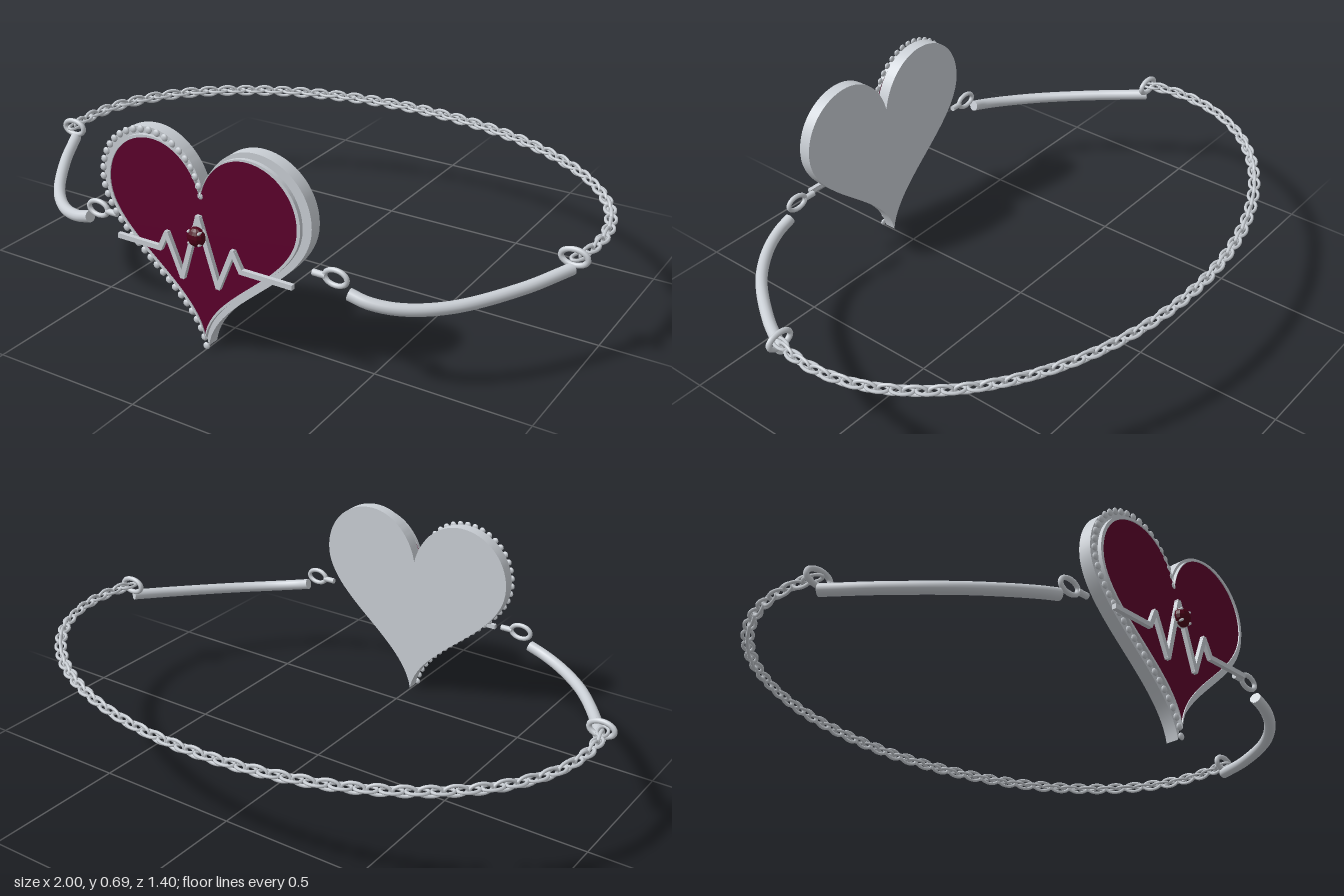
import * as THREE from 'three';
import { toCreasedNormals } from 'three/addons/utils/BufferGeometryUtils.js';

const silver = new THREE.MeshStandardMaterial({ color: 0xcacfd5 });
silver.name = 'silver';
const enamel = new THREE.MeshStandardMaterial({ color: 0x5c002c });
enamel.name = 'wine enamel';
const ruby = new THREE.MeshStandardMaterial({ color: 0x4e0018 });
ruby.name = 'ruby';

const v = (x, y, z) => new THREE.Vector3(x, y, z);

function add(parent, name, geometry, material, x = 0, y = 0, z = 0) {
  const m = new THREE.Mesh(geometry, material);
  m.name = name;
  m.position.set(x, y, z);
  parent.add(m);
  return m;
}

// Heart outline scaled about its middle; also used for the hole of the bezel
function heart(s, Type = THREE.Shape) {
  const p = new Type();
  const X = x => x * s, Y = y => 0.43 + (y - 0.43) * s;
  const to = (a, b, c, d, e, f) => p.bezierCurveTo(X(a), Y(b), X(c), Y(d), X(e), Y(f));
  p.moveTo(0, Y(0.002));
  to(0.03, 0.19, 0.37, 0.3, 0.37, 0.49);
  to(0.37, 0.598, 0.285, 0.676, 0.185, 0.676);
  to(0.1, 0.676, 0.02, 0.608, 0, 0.508);
  to(-0.02, 0.608, -0.1, 0.676, -0.185, 0.676);
  to(-0.285, 0.676, -0.37, 0.598, -0.37, 0.49);
  to(-0.37, 0.3, -0.03, 0.19, 0, 0.002);
  return p;
}

const plate = (shape, depth) => toCreasedNormals(
  new THREE.ExtrudeGeometry(shape, { depth, bevelEnabled: false, curveSegments: 28 }), 0.6);

// Oval wire ring lying in the xy plane
function ovalRing(a, b, r, steps, sides) {
  const pts = [];
  for (let i = 0; i < 16; i++) {
    const t = i / 16 * Math.PI * 2;
    pts.push(v(a * Math.cos(t), b * Math.sin(t), 0));
  }
  return new THREE.TubeGeometry(new THREE.CatmullRomCurve3(pts, true), steps, r, sides, true);
}

function makePendant() {
  const g = new THREE.Group();
  g.name = 'heartPendant';
  add(g, 'heartBase', plate(heart(1), 0.042), silver, 0, 0, 0.594);
  add(g, 'heartEnamel', plate(heart(0.905), 0.009), enamel, 0, 0, 0.642);
  const rim = heart(0.93);
  rim.holes.push(heart(0.9, THREE.Path));
  add(g, 'heartBezel', plate(rim, 0.013), silver, 0, 0, 0.642);

  // Beaded edge on the right half only
  const beads = new THREE.Group();
  beads.name = 'beadedEdge';
  g.add(beads);
  const bead = new THREE.SphereGeometry(0.0115, 10, 8);
  bead.scale(1, 1, 0.55);
  const outline = heart(0.985).getSpacedPoints(160);
  let last = null;
  for (const p of outline) {
    if (p.x > 0.001 || (last && p.distanceTo(last) < 0.024)) continue;
    add(beads, 'bead', bead, silver, p.x, p.y, 0.648);
    last = p;
  }

  // Heartbeat line
  const pulse = new THREE.Group();
  pulse.name = 'heartbeatLine';
  g.add(pulse);
  const pts = [[-0.3, 0.31], [-0.145, 0.31], [-0.118, 0.365], [-0.065, 0.235], [0, 0.445],
    [0.065, 0.235], [0.12, 0.365], [0.148, 0.31], [0.32, 0.31]];
  for (let i = 1; i < pts.length; i++) {
    const [ax, ay] = pts[i - 1], [bx, by] = pts[i];
    const len = Math.hypot(bx - ax, by - ay);
    const bar = add(pulse, 'pulseSegment', new THREE.BoxGeometry(len + 0.009, 0.016, 0.014),
      silver, (ax + bx) / 2, (ay + by) / 2, 0.663);
    bar.rotation.z = Math.atan2(by - ay, bx - ax);
  }

  // Round stone held by four prongs
  const stone = new THREE.Group();
  stone.name = 'stoneSetting';
  stone.position.set(0, 0.388, 0.672);
  g.add(stone);
  const gem = new THREE.SphereGeometry(0.031, 12, 8).toNonIndexed();
  gem.computeVertexNormals();
  add(stone, 'stone', gem, ruby, 0, 0, 0.004).scale.z = 0.75;
  add(stone, 'stoneCollar', new THREE.TorusGeometry(0.028, 0.004, 6, 24), silver, 0, 0, -0.006);
  for (let i = 0; i < 4; i++) {
    const t = Math.PI / 4 + i * Math.PI / 2;
    const prong = add(stone, 'prong', new THREE.CapsuleGeometry(0.0045, 0.02, 3, 8), silver,
      0.026 * Math.cos(t), 0.026 * Math.sin(t), 0.008);
    prong.rotation.x = Math.PI / 2;
  }
  return g;
}

// Peg, loop, curved bar and end ring of one side (s = 1 left, -1 right)
function makeSide(s) {
  const g = new THREE.Group();
  g.name = s > 0 ? 'leftArm' : 'rightArm';
  const peg = add(g, 'peg', new THREE.CylinderGeometry(0.01, 0.01, 0.042, 12), silver, s * 0.377, 0.343, 0.608);
  peg.rotation.z = Math.PI / 2;
  add(g, 'frontLoop', ovalRing(0.037, 0.024, 0.008, 32, 8), silver, s * 0.431, 0.345, 0.608);
  add(g, 'endRing', ovalRing(0.042, 0.025, 0.009, 32, 8), silver, s * 0.948, 0.345, 0.137);

  const path = new THREE.CatmullRomCurve3([
    v(s * 0.472, 0.304, 0.604), v(s * 0.53, 0.289, 0.597), v(s * 0.615, 0.276, 0.56),
    v(s * 0.727, 0.273, 0.468), v(s * 0.86, 0.288, 0.29), v(s * 0.945, 0.307, 0.138)]);
  add(g, 'curvedBar', new THREE.TubeGeometry(path, 48, 0.019, 16), silver);
  for (const t of [0, 1]) {
    const end = path.getPoint(t);
    const cap = add(g, 'barEnd', new THREE.CircleGeometry(0.019, 16), silver, end.x, end.y, end.z);
    const out = path.getTangent(t).multiplyScalar(t ? 1 : -1);
    cap.quaternion.setFromUnitVectors(v(0, 0, 1), out);
  }
  return g;
}

// Oval links laid along the back of an ellipse, each turned a quarter against the next
function makeChain() {
  const g = new THREE.Group();
  g.name = 'chain';
  const pts = [];
  for (let i = 0; i <= 48; i++) {
    const t = -0.2 + i / 48 * (Math.PI + 0.4);
    pts.push(v(0.974 * Math.cos(t), 0.344, -0.676 * Math.sin(t)));
  }
  const path = new THREE.CatmullRomCurve3(pts);
  const link = ovalRing(0.033, 0.0165, 0.0055, 20, 6);
  const count = 81;
  for (let i = 0; i < count; i++) {
    const u = (i + 0.3) / (count - 0.4);
    const p = path.getPointAt(u), d = path.getTangentAt(u);
    const m = add(g, 'chainLink', link, silver, p.x, p.y, p.z);
    m.rotation.order = 'YXZ';
    m.rotation.y = Math.atan2(-d.z, d.x);
    m.rotation.x = i % 2 ? 0 : Math.PI / 2;
  }
  return g;
}

export function createModel() {
  const model = new THREE.Group();
  model.name = 'heartBracelet';
  model.add(makePendant(), makeSide(1), makeSide(-1), makeChain());
  return model;
}
